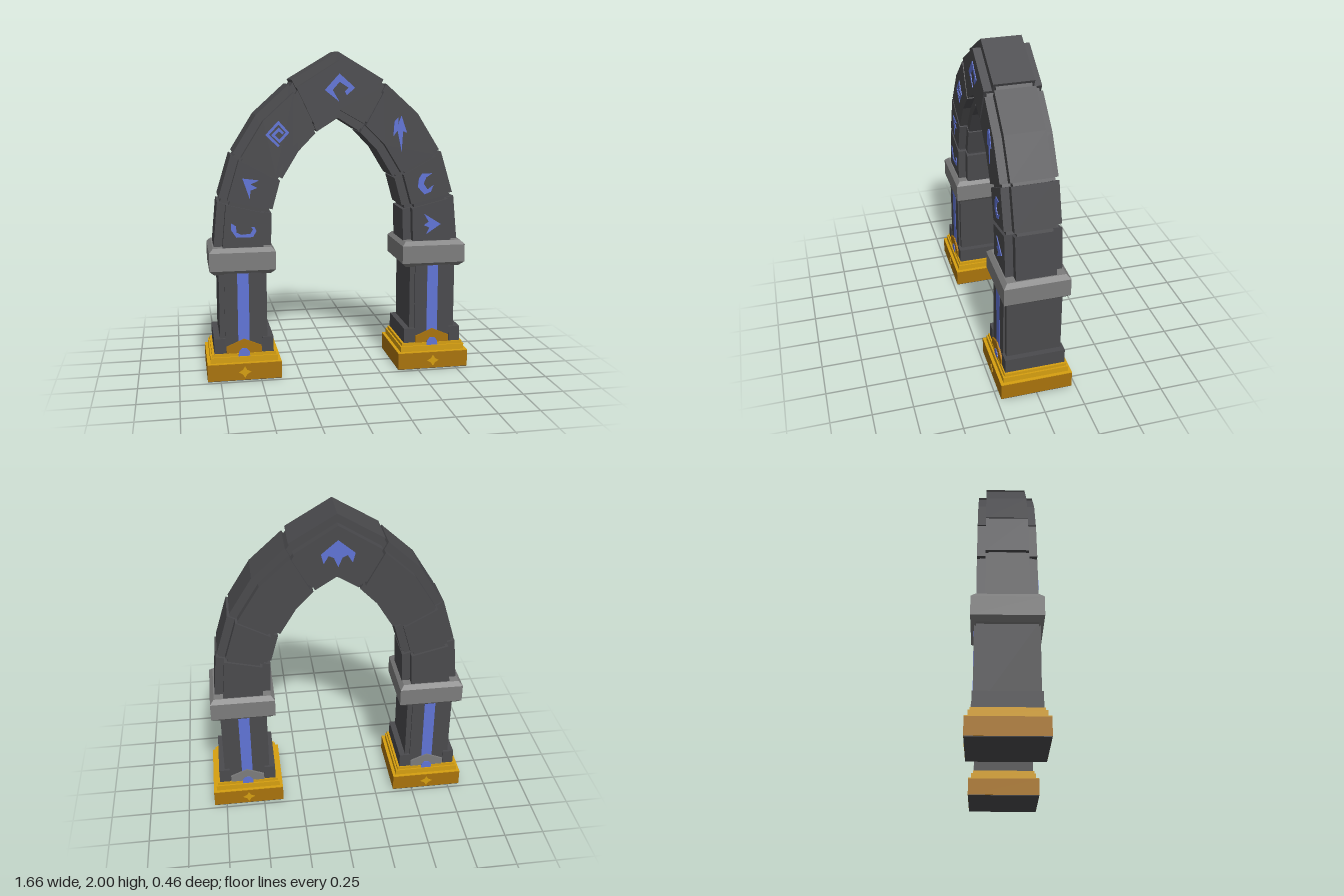
import * as THREE from 'three';

const mat = (name, color) => new THREE.MeshStandardMaterial({ name, color });

export function createModel() {
  const stone = mat('dark stone', 0x4a4a4d);
  const grey = mat('grey stone', 0x7c7c7c);
  const gold = mat('deep gold', 0xa9730c);
  const brightGold = mat('bright gold', 0xd69f10);
  const blue = mat('glowing blue', 0x6074d6);

  const root = new THREE.Group();
  root.name = 'stoneArch';

  const add = (parent, name, geometry, material, x = 0, y = 0, z = 0) => {
    const mesh = new THREE.Mesh(geometry, material);
    mesh.name = name;
    mesh.position.set(x, y, z);
    parent.add(mesh);
    return mesh;
  };

  // Flat outline extruded from z0 to z1
  const slab = (parent, name, points, z0, z1, material) => {
    const shape = new THREE.Shape(points.map(([x, y]) => new THREE.Vector2(x, y)));
    const geometry = new THREE.ExtrudeGeometry(shape, { depth: z1 - z0, bevelEnabled: false });
    return add(parent, name, geometry, material, 0, 0, z0);
  };

  // Box standing from y0 to y1, optionally tapered at its top
  const block = (parent, name, w, d, y0, y1, material, taper = 1) => {
    const geometry = new THREE.BoxGeometry(w, y1 - y0, d);
    const p = geometry.attributes.position;
    for (let i = 0; i < p.count; i++) {
      if (p.getY(i) > 0) {
        p.setX(i, p.getX(i) * taper);
        p.setZ(i, p.getZ(i) * taper);
      }
    }
    geometry.computeVertexNormals();
    return add(parent, name, geometry, material, 0, (y0 + y1) / 2, 0);
  };

  // ---- Arch stones: each section is [outerX, outerY, innerX, innerY]
  const FACE = 0.172, CORE = 0.123;
  const ring = (sections, inset) => {
    const outer = [], inner = [];
    for (const [ox, oy, ix, iy] of sections) {
      const k = inset / Math.hypot(ix - ox, iy - oy);
      outer.push([ox + (ix - ox) * k, oy + (iy - oy) * k]);
      inner.unshift([ix + (ox - ix) * k, iy + (oy - iy) * k]);
    }
    return [...outer, ...inner];
  };
  const archStone = (name, sections, inset = 0, shrink = 0) => {
    const group = new THREE.Group();
    group.name = name;
    slab(group, name + 'Core', ring(sections, inset), -CORE + shrink, CORE - shrink, stone);
    slab(group, name + 'Face', ring(sections, inset + 0.052), -FACE + shrink, FACE - shrink, stone);
    root.add(group);
  };

  const side = [
    [[0.772, 0.82, 0.42, 0.82], [0.745, 1.102, 0.413, 1.022]],
    [[0.736, 1.126, 0.408, 1.048], [0.658, 1.384, 0.36, 1.222]],
    [[0.644, 1.398, 0.346, 1.236], [0.503, 1.624, 0.245, 1.402], [0.302, 1.806, 0.14, 1.51]],
  ];
  const keyEdge = [0.283, 1.832, 0.131, 1.52];
  const mirror = (s) => s.map(([a, b, c, d]) => [-a, b, -c, d]);
  archStone('keystone', [...mirror([keyEdge]), [0, 2, 0, 1.602], keyEdge]);
  for (const left of [true, false]) {
    const prefix = left ? 'left' : 'right';
    const stones = left ? side : side.map(mirror);
    stones.forEach((s, i) => {
      archStone(`${prefix}ArchStone${i + 1}`, s);
      // recessed mortar joint up to the next stone
      const next = i < 2 ? stones[i + 1][0] : (left ? keyEdge : mirror([keyEdge])[0]);
      archStone(`${prefix}Joint${i + 1}`, [s[s.length - 1], next], 0.018, 0.016);
    });
  }

  // ---- Carved signs, thin plates on the stone faces
  const signs = {
    keystoneSign: [[0, 1.87], [0.095, 1.785], [0.045, 1.74], [0.032, 1.762], [0.055, 1.785],
      [0, 1.82], [-0.042, 1.772], [0, 1.70], [-0.09, 1.772]],
    flagSign: [[-0.593, 1.249], [-0.492, 1.235], [-0.545, 1.212], [-0.503, 1.19], [-0.545, 1.175], [-0.55, 1.122]],
    cupSign: [[-0.667, 0.979], [-0.635, 0.958], [-0.635, 0.92], [-0.603, 0.905], [-0.55, 0.91], [-0.534, 0.937],
      [-0.545, 0.952], [-0.524, 0.952], [-0.513, 0.926], [-0.534, 0.889], [-0.635, 0.889], [-0.667, 0.937]],
    spikeSign: [[0.386, 1.614], [0.423, 1.508], [0.397, 1.518], [0.39, 1.392], [0.362, 1.523],
      [0.336, 1.487], [0.342, 1.577], [0.368, 1.606], [0.365, 1.56]],
    crescentSign: [[0.524, 1.254], [0.587, 1.254], [0.55, 1.228], [0.534, 1.19], [0.56, 1.153],
      [0.598, 1.18], [0.582, 1.138], [0.54, 1.122], [0.497, 1.169], [0.503, 1.222]],
    arrowSign: [[0.54, 1.0], [0.65, 0.931], [0.555, 0.868], [0.577, 0.91], [0.54, 0.926], [0.571, 0.947]],
  };
  for (const [name, points] of Object.entries(signs)) slab(root, name, points, FACE - 0.003, FACE + 0.004, blue);

  // spiral sign made of straight strokes
  const spiral = [[-0.376, 1.444], [-0.44, 1.508], [-0.372, 1.58], [-0.318, 1.52], [-0.366, 1.468],
    [-0.405, 1.506], [-0.37, 1.54], [-0.35, 1.52]];
  for (let i = 0; i + 1 < spiral.length; i++) {
    const [ax, ay] = spiral[i], [bx, by] = spiral[i + 1];
    const stroke = add(root, 'spiralSignStroke',
      new THREE.BoxGeometry(Math.hypot(bx - ax, by - ay) + 0.014, 0.016, 0.007), blue,
      (ax + bx) / 2, (ay + by) / 2, FACE + 0.0005);
    stroke.rotation.z = Math.atan2(by - ay, bx - ax);
  }

  // crown sign on the back of the keystone
  const half = [[0.1, 1.775], [0.085, 1.715], [0.055, 1.765], [0.025, 1.75]];
  const crown = [[0, 1.86], ...half, [0, 1.69], ...half.map(([x, y]) => [-x, y]).reverse()];
  slab(root, 'backKeystoneSign', crown, -FACE - 0.004, -FACE + 0.003, blue);

  // ---- Pillars
  const star = [];
  for (let i = 0; i < 8; i++) {
    const r = i % 2 ? 0.019 : 0.038, a = i * Math.PI / 4;
    star.push([r * Math.cos(a), 0.053 + r * Math.sin(a)]);
  }
  const gable = [[-0.108, 0.14], [0.108, 0.14], [0.108, 0.208], [0, 0.255], [-0.108, 0.208]];
  const gem = [[-0.036, 0.147], [0.036, 0.147], [0.034, 0.175], [0.015, 0.197], [-0.015, 0.197], [-0.034, 0.175]];

  for (const s of [1, -1]) {
    const pillar = new THREE.Group();
    pillar.name = s > 0 ? 'leftPillar' : 'rightPillar';
    pillar.position.x = s * 0.601;
    root.add(pillar);

    // stepped gold base with a dark underside
    block(pillar, 'baseUnderside', 0.454, 0.448, 0, 0.003, stone);
    block(pillar, 'base', 0.456, 0.45, 0.003, 0.107, gold);
    block(pillar, 'baseTopTrim', 0.456, 0.45, 0.107, 0.111, brightGold);
    block(pillar, 'baseStep', 0.416, 0.412, 0.111, 0.147, brightGold);
    block(pillar, 'baseUpperStep', 0.395, 0.392, 0.147, 0.166, brightGold);

    // plinth in two halves beside the central panel
    for (const x of [-1, 1]) {
      add(pillar, 'plinthBlock', new THREE.BoxGeometry(0.07, 0.095, 0.376), stone, x * 0.148, 0.2125, 0);
    }
    block(pillar, 'shaft', 0.292, 0.342, 0.16, 0.67, stone);
    block(pillar, 'shaftPanel', 0.228, 0.364, 0.16, 0.67, stone);

    // grey capital
    block(pillar, 'capitalBottom', 0.344, 0.344, 0.66, 0.688, grey, 0.404 / 0.344);
    block(pillar, 'capitalBand', 0.404, 0.404, 0.688, 0.8, grey);
    block(pillar, 'capitalTop', 0.404, 0.404, 0.8, 0.826, grey, 0.88);

    // ornaments on front and back
    for (const front of [true, false]) {
      const face = new THREE.Group();
      face.name = front ? 'frontOrnaments' : 'backOrnaments';
      face.rotation.y = front ? 0 : Math.PI;
      pillar.add(face);
      add(face, 'lightStrip', new THREE.BoxGeometry(0.07, 0.51, 0.006), blue, 0, 0.412, 0.182);
      slab(face, 'gable', gable, 0.17, 0.194, front ? gold : grey);
      slab(face, 'gableGem', gem, 0.192, 0.198, blue);
      slab(face, 'baseStar', star, 0.222, 0.228, brightGold);
    }
  }
  return root;
}
